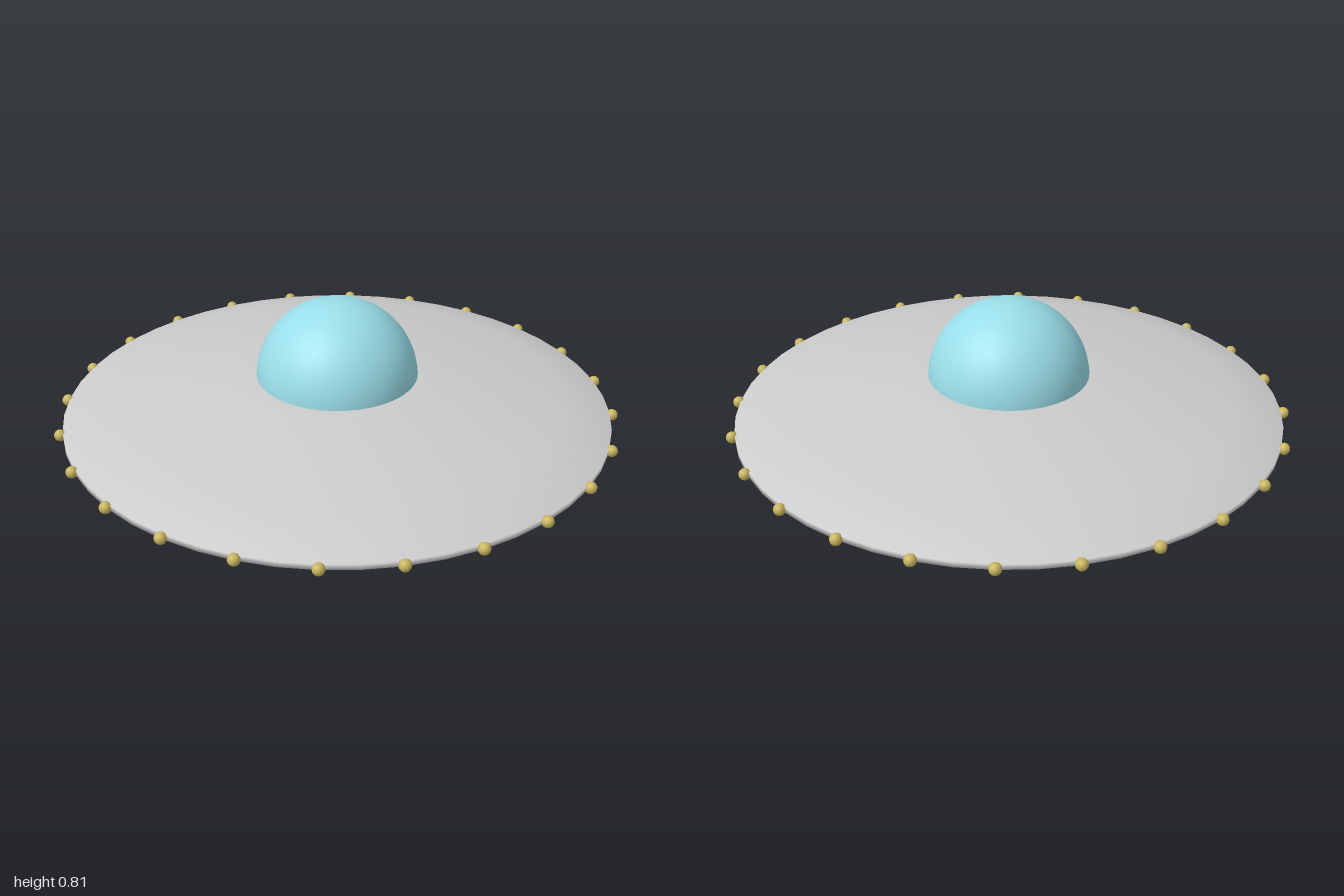
import * as THREE from 'three';

const SEGMENTS = 48;

function lathe(name, profile, material) {
  const points = profile.map(([r, y]) => new THREE.Vector2(r, y));
  const mesh = new THREE.Mesh(new THREE.LatheGeometry(points, SEGMENTS), material);
  mesh.name = name;
  return mesh;
}

export function createModel() {
  const model = new THREE.Group();
  model.name = 'flyingSaucer';

  const grey = new THREE.MeshStandardMaterial({ color: 0xcccccc });
  const glass = new THREE.MeshStandardMaterial({ color: 0x99dde8 });
  const gold = new THREE.MeshStandardMaterial({ color: 0xc9b55f });

  // Saucer hull: flat belly, shallow cone, narrow rim band, gently curved top
  model.add(lathe('hull', [
    [0, 0.02], [0.14, 0.02], [0.34, 0.08], [0.97, 0.385],
    [0.97, 0.405], [0.8, 0.457], [0.53, 0.507], [0.34, 0.535], [0.26, 0.54], [0, 0.54],
  ], grey));

  // Cockpit dome, its lower edge sunk into the hull
  const dome = new THREE.Mesh(
    new THREE.SphereGeometry(0.286, 40, 20, 0, Math.PI * 2, 0, Math.PI / 2), glass);
  dome.name = 'cockpitDome';
  dome.position.y = 0.523;
  model.add(dome);

  // Shallow lens under the belly
  const lens = [];
  for (let i = 0; i <= 6; i++) {
    const r = (0.107 * i) / 6;
    lens.push([r, 0.021 * (r / 0.107) ** 2]);
  }
  model.add(lathe('bellyLens', lens, glass));

  // Ring of small lights around the rim
  const lights = new THREE.Group();
  lights.name = 'rimLights';
  const bulb = new THREE.SphereGeometry(0.021, 12, 8);
  for (let i = 0; i < 24; i++) {
    const angle = (i / 24) * Math.PI * 2;
    const light = new THREE.Mesh(bulb, gold);
    light.name = 'rimLight';
    light.position.set(Math.sin(angle) * 0.979, 0.395, Math.cos(angle) * 0.979);
    light.rotation.y = angle;
    lights.add(light);
  }
  model.add(lights);

  return model;
}
